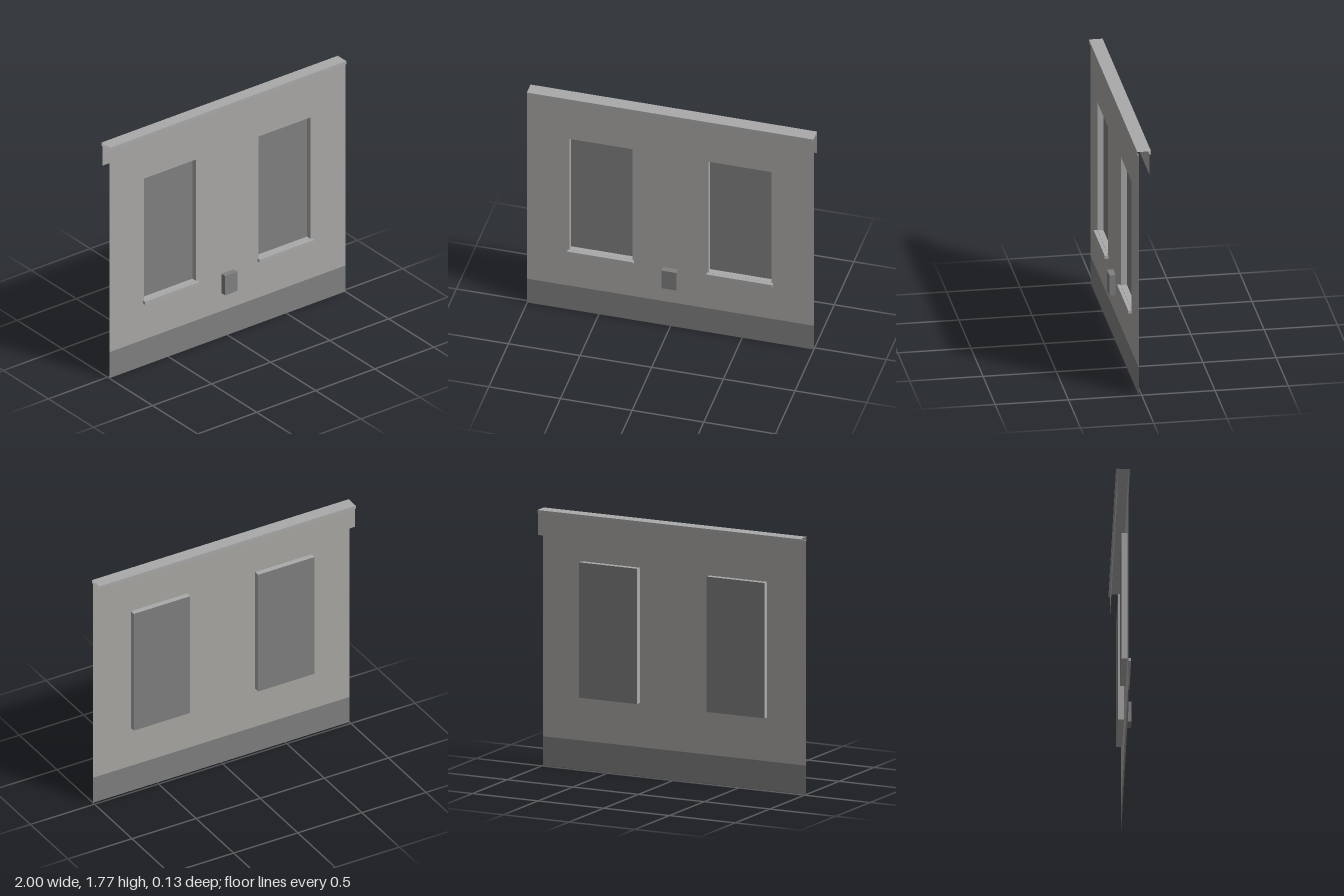
import * as THREE from 'three';

const material = (name, color) =>
  new THREE.MeshStandardMaterial({ name, color, side: THREE.DoubleSide });

// Flat-faced geometry from four-cornered faces, corners counter-clockwise.
function quads(faces) {
  const pos = [];
  for (const [a, b, c, d] of faces) pos.push(...a, ...b, ...c, ...a, ...c, ...d);
  const geo = new THREE.BufferGeometry();
  geo.setAttribute('position', new THREE.Float32BufferAttribute(pos, 3));
  geo.computeVertexNormals();
  return geo;
}

function rectangle(x0, x1, y0, y1, Path = THREE.Path) {
  return new Path([[x0, y0], [x1, y0], [x1, y1], [x0, y1]].map(p => new THREE.Vector2(...p)));
}

export function createModel() {
  const model = new THREE.Group();
  model.name = 'facadePanel';
  const wallMat = material('plaster', 0xaaa8a5);
  const trimMat = material('paleTrim', 0xaaaaaa);
  const darkMat = material('darkGrey', 0x808080);

  const add = (name, geo, mat, parent = model) => {
    const mesh = new THREE.Mesh(geo, mat);
    mesh.name = name;
    parent.add(mesh);
    return mesh;
  };

  const FACE = 0.02, PANE = -0.02;
  const WIN = { x0: -0.22, x1: 0.22, y0: 0.503, y1: 1.435 };
  const windowCentres = [-0.485, 0.485];

  // Thin wall sheet with two window openings
  const wallShape = rectangle(-1, 1, 0.2, 1.75, THREE.Shape);
  for (const cx of windowCentres)
    wallShape.holes.push(rectangle(cx + WIN.x0, cx + WIN.x1, WIN.y0, WIN.y1));
  add('wall', new THREE.ShapeGeometry(wallShape), wallMat).position.z = FACE;

  // Dark base band in the same plane
  add('baseBand', new THREE.PlaneGeometry(2, 0.2), darkMat).position.set(0, 0.1, FACE);

  // Windows: reveal, pane and sill
  const { x0, x1, y0, y1 } = WIN;
  const corners = [[x0, y0], [x1, y0], [x1, y1], [x0, y1]];
  const reveal = quads(corners.map((p, i) => {
    const q = corners[(i + 1) % 4];
    return [[...p, FACE], [...q, FACE], [...q, PANE], [...p, PANE]];
  }));
  for (const cx of windowCentres) {
    const win = new THREE.Group();
    win.name = cx > 0 ? 'leftWindow' : 'rightWindow';
    win.position.x = cx;
    model.add(win);
    add('reveal', reveal, trimMat, win);
    add('pane', new THREE.PlaneGeometry(x1 - x0, y1 - y0), darkMat, win)
      .position.set(0, (y0 + y1) / 2, PANE);
    add('sill', new THREE.BoxGeometry(0.46, 0.023, 0.024), trimMat, win)
      .position.set(0, 0.4915, 0.033);
  }

  // Small wall box between the windows
  add('wallBox', new THREE.BoxGeometry(0.104, 0.148, 0.043), darkMat)
    .position.set(0, 0.414, 0.0425);

  // Open-ended coping, as [z, y] points from the wall over the top to the rear apron
  const profile = [[FACE, 1.75], [0.03, 1.75], [0.03, 1.774], [-0.064, 1.774],
    [-0.064, 1.75], [-0.054, 1.75], [-0.054, 1.6]];
  const strips = profile.slice(1).map(([z, y], i) => {
    const [pz, py] = profile[i];
    return [[-1, py, pz], [1, py, pz], [1, y, z], [-1, y, z]];
  });
  add('coping', quads(strips.slice(0, 5)), trimMat);
  add('rearApron', quads(strips.slice(5)), wallMat);

  return model;
}
